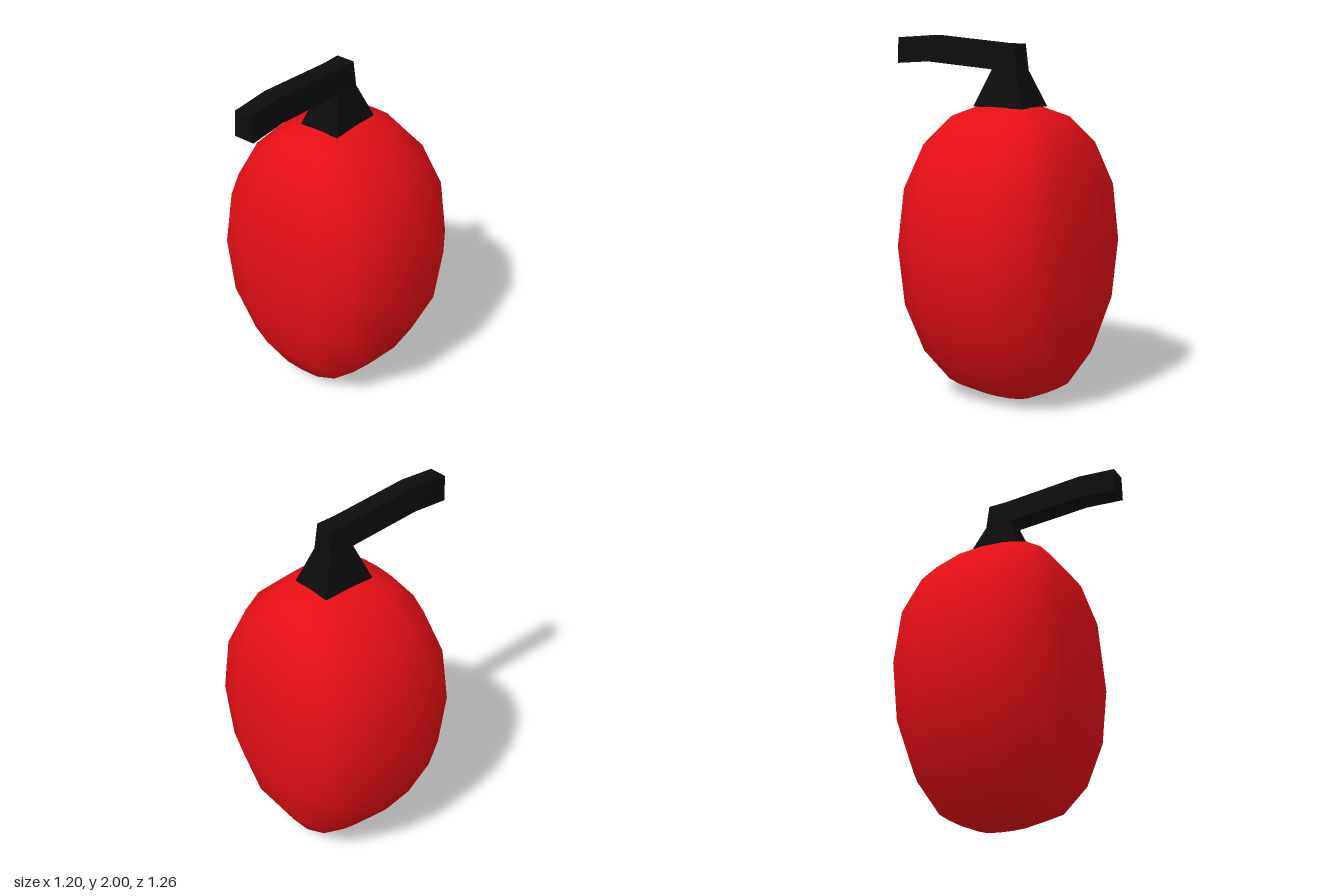
import * as THREE from 'three';
import { toCreasedNormals } from 'three/addons/utils/BufferGeometryUtils.js';

// Skin a list of rings (counter-clockwise seen from the far end) and close both ends.
function loft(rings, startPole, endPole) {
  const n = rings[0].length, last = (rings.length - 1) * n;
  const middle = (ring) => [0, 1, 2].map((k) => ring.reduce((s, p) => s + p[k], 0) / n);
  const points = [...rings.flat(), startPole ?? middle(rings[0]), endPole ?? middle(rings.at(-1))];
  const start = last + n, end = start + 1, index = [];
  for (let i = 0; i < n; i++) {
    const j = (i + 1) % n;
    for (let r = 0; r < last; r += n) {
      index.push(r + i, r + j, r + n + i, r + j, r + n + j, r + n + i);
    }
    index.push(start, j, i, end, last + i, last + j);
  }
  const geometry = new THREE.BufferGeometry();
  geometry.setAttribute('position', new THREE.Float32BufferAttribute(points.flat(), 3));
  geometry.setIndex(index);
  geometry.computeVertexNormals();
  return geometry;
}

const CENTER_Z = -0.11;

// Rounded-square outline: one quadrant, mirrored into a full ring of 16 points.
function outline() {
  const q = [[0, 1], [0.416, 0.98], [0.75, 0.83], [0.942, 0.475]];
  const ring = [];
  const rest = [[1, 0], ...q.slice(1).reverse()];
  const half = [...q, ...rest.map(([x, z]) => [x, -z])];
  ring.push(...half, [0, -1]);
  ring.push(...half.slice(1).reverse().map(([x, z]) => [-x, z]));
  return ring;
}

function makeBody() {
  // height, half width, half depth
  const levels = [
    [0.018, 0.125, 0.17], [0.09, 0.268, 0.325], [0.268, 0.427, 0.43],
    [0.54, 0.555, 0.497], [0.87, 0.6, 0.518], [1.187, 0.555, 0.494],
    [1.425, 0.427, 0.42], [1.57, 0.267, 0.308], [1.628, 0.125, 0.165],
  ];
  const shape = outline();
  const rings = levels.map(([y, w, d]) => shape.map(([x, z]) => [x * w, y, z * d + CENTER_Z]));
  return loft(rings, [0, 0.005, CENTER_Z], [0, 1.635, CENTER_Z]);
}

// Flared base narrowing into an upright neck: height, half width, back z, front z
function makeNeck() {
  const rings = [
    [1.625, 0.122, -0.272, 0.048], [1.82, 0.062, -0.19, -0.03], [1.964, 0.054, -0.175, -0.03],
  ].map(([y, w, back, front]) => [[-w, y, front], [w, y, front], [w, y, back], [-w, y, back]]);
  return loft(rings);
}

// Bent bar reaching forward: z, underside height, top height
function makeHandle() {
  const rings = [
    [-0.11, 1.82, 1.962], [0.41, 1.855, 2], [0.63, 1.84, 1.985],
  ].map(([z, low, high]) => [[-0.06, low, z], [0.06, low, z], [0.052, high, z], [-0.052, high, z]]);
  return loft(rings);
}

export function createModel() {
  const group = new THREE.Group();
  const red = new THREE.MeshStandardMaterial({ color: 0xe50f15 });
  const black = new THREE.MeshStandardMaterial({ color: 0x0d0d0d });
  const add = (name, geometry, material) => {
    const mesh = new THREE.Mesh(geometry, material);
    mesh.name = name;
    group.add(mesh);
  };
  add('body', makeBody(), red);
  add('neck', toCreasedNormals(makeNeck(), 0.6), black);
  add('handle', toCreasedNormals(makeHandle(), 0.6), black);
  return group;
}
